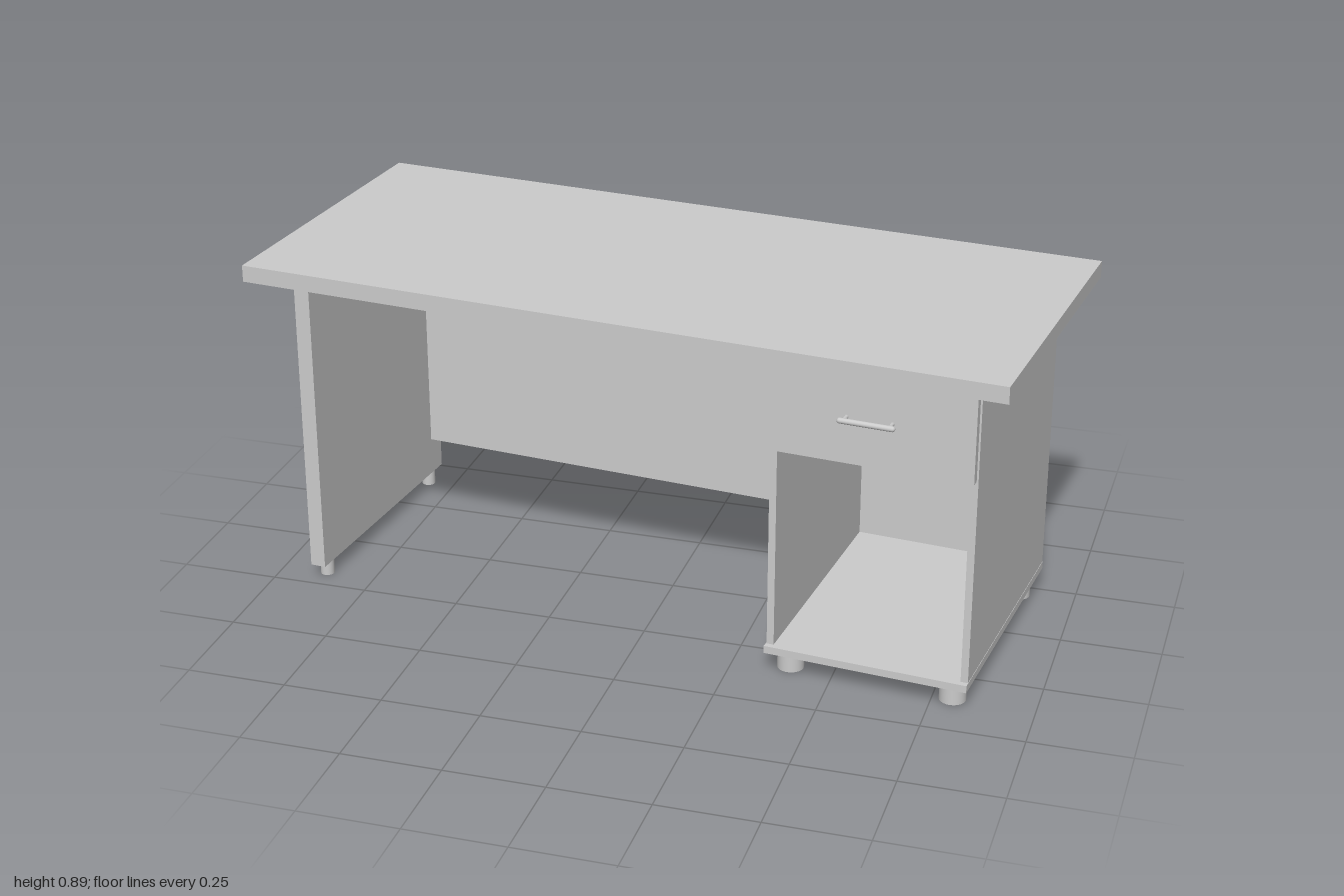
import * as THREE from 'three';

export function createModel() {
  const desk = new THREE.Group();
  desk.name = 'desk';
  const material = new THREE.MeshStandardMaterial({ color: 0xcccccc });

  const add = (name, geometry, x, y, z) => {
    const mesh = new THREE.Mesh(geometry, material);
    mesh.name = name;
    mesh.position.set(x, y, z);
    desk.add(mesh);
    return mesh;
  };
  // Box given by its minimum and maximum on each axis
  const board = (name, [x0, x1], [y0, y1], [z0, z1]) =>
    add(name, new THREE.BoxGeometry(x1 - x0, y1 - y0, z1 - z0),
      (x0 + x1) / 2, (y0 + y1) / 2, (z0 + z1) / 2);
  const foot = (name, radius, height, x, z) =>
    add(name, new THREE.CylinderGeometry(radius, radius, height, 32), x, height / 2, z);

  const under = 0.845, back = -0.35, front = 0.315;

  // Worktop
  board('worktop', [-0.962, 0.962], [under, 0.887], [-0.41, 0.41]);

  // Side panel on two small feet, and the modesty panel
  board('sidePanel', [-0.878, -0.838], [0.04, under], [back, front]);
  for (const z of [-0.306, 0.269]) foot('sidePanelFoot', 0.018, 0.04, -0.857, z);
  board('modestyPanel', [-0.838, 0.373], [0.14, under], [-0.314, -0.294]);

  // Open cabinet
  board('cabinetBase', [0.371, 0.878], [0.055, 0.074], [back, 0.33]);
  board('cabinetInnerSide', [0.373, 0.391], [0.074, under], [back, front]);
  board('cabinetOuterSide', [0.859, 0.877], [0.074, under], [back, front]);
  board('cabinetBack', [0.391, 0.859], [0.074, under], [back, back + 0.018]);
  for (const x of [0.421, 0.83])
    for (const z of [-0.291, 0.273]) foot('cabinetFoot', 0.033, 0.055, x, z);

  // Drawer
  board('drawerFront', [0.371, 0.873], [0.6, under - 0.002], [front + 0.002, 0.337]);
  board('drawerBottom', [0.4, 0.85], [0.625, 0.635], [-0.28, front]);
  for (const x of [0.4, 0.838]) board('drawerSide', [x, x + 0.012], [0.635, 0.8], [-0.28, front]);
  board('drawerBack', [0.412, 0.838], [0.635, 0.8], [-0.28, -0.268]);

  // Bar handle on two posts
  const bar = add('handleBar', new THREE.CapsuleGeometry(0.007, 0.126, 6, 16), 0.62, 0.717, 0.362);
  bar.rotation.z = Math.PI / 2;
  for (const x of [0.565, 0.675]) {
    const post = add('handlePost', new THREE.CylinderGeometry(0.005, 0.005, 0.027, 16), x, 0.717, 0.3485);
    post.rotation.x = Math.PI / 2;
  }

  // The desk stands slightly turned
  desk.rotation.y = -0.099;
  const model = new THREE.Group();
  model.name = 'writingDesk';
  model.add(desk);
  return model;
}
